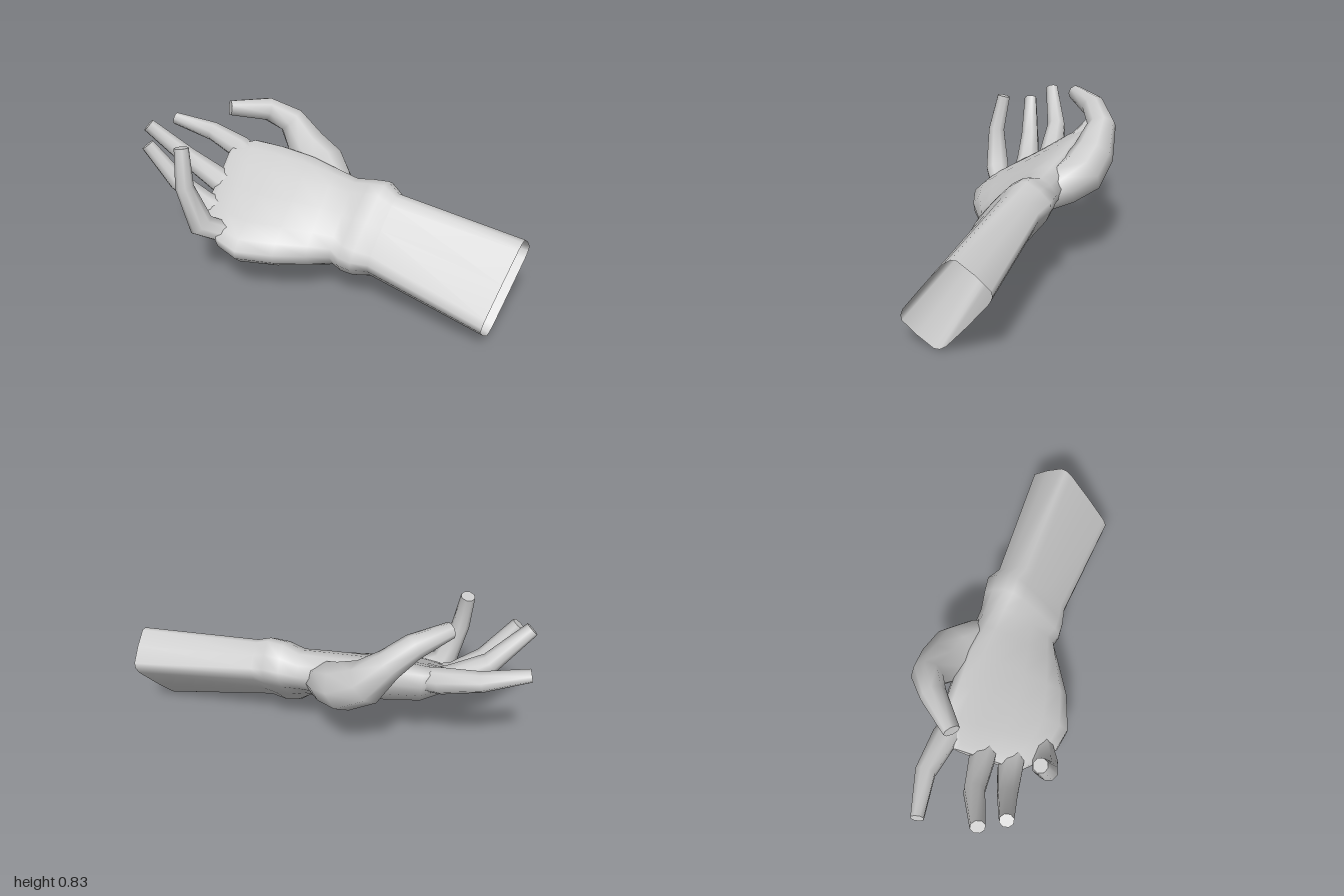
import * as THREE from 'three';

const material = new THREE.MeshStandardMaterial({ color: 0xcccccc, side: THREE.DoubleSide });

// Skin a list of rings (counter-clockwise about the direction of travel), optionally capped.
function loft(name, rings, capStart, capEnd) {
  const n = rings[0].length, pos = [], idx = [];
  rings.forEach(r => r.forEach(p => pos.push(p.x, p.y, p.z)));
  for (let i = 0; i < rings.length - 1; i++) {
    for (let j = 0; j < n; j++) {
      const a = i * n + j, b = i * n + (j + 1) % n;
      idx.push(a, b, b + n, a, b + n, a + n);
    }
  }
  const cap = (ring, flip) => {
    const base = pos.length / 3;
    const c = ring.reduce((s, p) => s.add(p), new THREE.Vector3()).divideScalar(n);
    [...ring, c].forEach(p => pos.push(p.x, p.y, p.z));
    for (let j = 0; j < n; j++) {
      const a = base + j, b = base + (j + 1) % n;
      idx.push(base + n, flip ? b : a, flip ? a : b);
    }
  };
  if (capStart) cap(rings[0], true);
  if (capEnd) cap(rings[rings.length - 1], false);
  const geo = new THREE.BufferGeometry();
  geo.setAttribute('position', new THREE.Float32BufferAttribute(pos, 3));
  geo.setIndex(idx);
  geo.computeVertexNormals();
  const mesh = new THREE.Mesh(geo, material);
  mesh.name = name;
  return mesh;
}

// Rounded-box section across the arm, tilted about x. Shear slants it along x,
// palmar and dorsal are its two thicknesses, cup raises both edges.
function armSection([x, y, z, w, palmar, dorsal, degrees, shear, power, cup]) {
  const a = THREE.MathUtils.degToRad(degrees), ring = [], sides = 16;
  const bend = c => Math.sign(c) * Math.pow(Math.abs(c), 2 / power);
  for (let j = 0; j < sides; j++) {
    const th = j / sides * Math.PI * 2;
    const u = bend(Math.cos(th)), s = bend(Math.sin(th));
    const v = s * (s > 0 ? palmar : dorsal) + cup * u * u;
    ring.push(new THREE.Vector3(
      x + shear * u,
      y + u * w * Math.sin(a) + v * Math.cos(a),
      z - u * w * Math.cos(a) + v * Math.sin(a)));
  }
  return ring;
}

// Tapered digit through joints [x, y, z, radius], with a blunt tip.
function digit(name, joints) {
  const pts = joints.map(j => new THREE.Vector3(j[0], j[1], j[2]));
  const normal = new THREE.Vector3(0, 0, 1);
  const rings = pts.map((p, i) => {
    const before = pts[Math.max(i - 1, 0)], after = pts[Math.min(i + 1, pts.length - 1)];
    const t = after.clone().sub(before).normalize();
    normal.addScaledVector(t, -normal.dot(t)).normalize();
    const side = t.clone().cross(normal), ring = [];
    for (let k = 0; k < 8; k++) {
      const th = (k + 0.5) / 8 * Math.PI * 2, r = joints[i][3];
      ring.push(p.clone().addScaledVector(normal, r * Math.cos(th)).addScaledVector(side, r * Math.sin(th)));
    }
    return ring;
  });
  return loft(name, rings, false, true);
}

export function createModel() {
  const group = new THREE.Group();
  group.name = 'forearmAndHand';

  // Palm, wrist bulge and open forearm:
  // x, y, z, half width, palmar, dorsal, tilt, shear, squareness, cup
  const sections = [
    [-0.61, 0.42, 0.04, 0.19, 0.02, 0.035, 31, -0.01, 2.3, 0.02],
    [-0.57, 0.41, 0.05, 0.25, 0.05, 0.08, 31, -0.03, 2.4, 0.03],
    [-0.47, 0.395, 0.06, 0.325, 0.07, 0.12, 30, -0.03, 2.5, 0.03],
    [-0.33, 0.375, 0.075, 0.34, 0.085, 0.135, 31, 0, 2.5, 0.035],
    [-0.15, 0.365, 0.055, 0.31, 0.10, 0.125, 33, 0, 2.5, 0.025],
    [0.00, 0.355, 0.03, 0.26, 0.11, 0.115, 38, 0, 2.7, 0.01],
    [0.11, 0.35, 0.015, 0.225, 0.11, 0.105, 43, 0.01, 3, 0],
    [0.18, 0.345, 0.02, 0.24, 0.125, 0.122, 48, 0.03, 3.4, 0],
    [0.25, 0.345, 0.02, 0.245, 0.125, 0.125, 50, 0.04, 3.6, 0],
    [0.33, 0.335, 0.035, 0.21, 0.11, 0.11, 50, 0.03, 4, 0],
    [0.95, 0.235, 0.103, 0.237, 0.125, 0.128, 50.7, 0.05, 6, 0],
  ];
  group.add(loft('palmAndForearm', sections.map(armSection), true, false));

  // Digits, each rooted just inside the palm
  const digits = {
    thumb: [[0.04, 0.40, -0.08, 0.075], [-0.04, 0.445, -0.165, 0.105], [-0.13, 0.49, -0.245, 0.12],
      [-0.25, 0.565, -0.285, 0.108], [-0.35, 0.69, -0.305, 0.075], [-0.45, 0.76, -0.24, 0.062],
      [-0.60, 0.79, -0.11, 0.04]],
    indexFinger: [[-0.50, 0.52, -0.14, 0.06], [-0.58, 0.54, -0.165, 0.065],
      [-0.77, 0.59, -0.20, 0.05], [-0.985, 0.64, -0.17, 0.032]],
    middleFinger: [[-0.52, 0.41, 0.02, 0.06], [-0.61, 0.43, 0.02, 0.067],
      [-0.79, 0.54, 0.035, 0.052], [-0.965, 0.715, 0.105, 0.036]],
    ringFinger: [[-0.50, 0.335, 0.155, 0.06], [-0.62, 0.36, 0.16, 0.065],
      [-0.76, 0.475, 0.185, 0.05], [-0.90, 0.665, 0.218, 0.035]],
    littleFinger: [[-0.43, 0.29, 0.27, 0.055], [-0.55, 0.335, 0.32, 0.066],
      [-0.615, 0.545, 0.343, 0.046], [-0.64, 0.735, 0.305, 0.036]],
  };
  for (const [name, joints] of Object.entries(digits)) group.add(digit(name, joints));
  return group;
}
